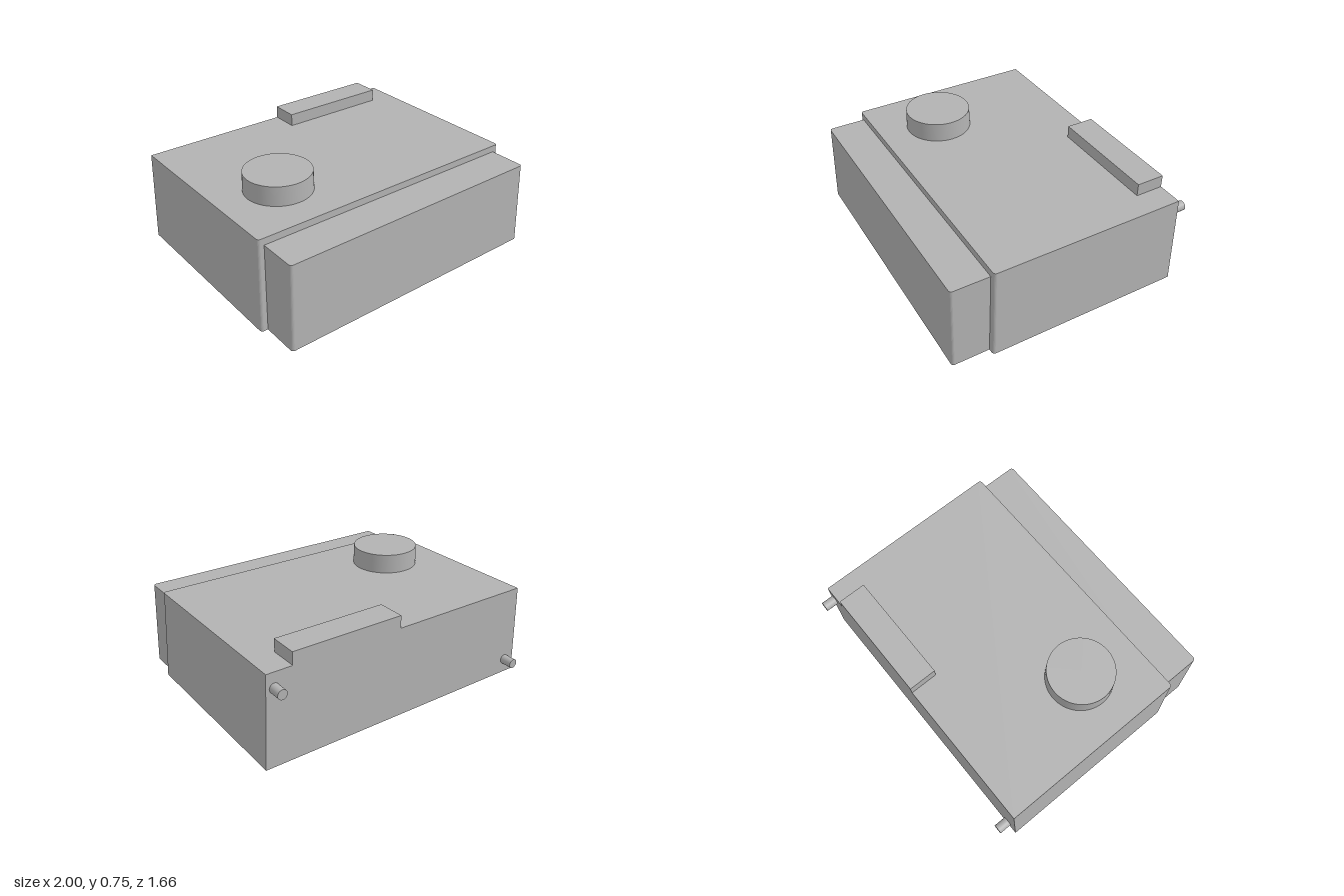
import * as THREE from 'three';

const grey = new THREE.MeshStandardMaterial({ color: 0xb2b2b2 });
grey.name = 'plain grey';

// Block with a straight back, rounded front corners and drafted front and sides
function draftedBlock(halfWidth, topHalfWidth, back, front, topFront, height, r) {
  const s = new THREE.Shape();
  s.moveTo(-halfWidth, -back);
  s.lineTo(-halfWidth, -front + r);
  s.absarc(-halfWidth + r, -front + r, r, Math.PI, Math.PI * 1.5, false);
  s.lineTo(halfWidth - r, -front);
  s.absarc(halfWidth - r, -front + r, r, Math.PI * 1.5, Math.PI * 2, false);
  s.lineTo(halfWidth, -back);
  s.closePath();
  const g = new THREE.ExtrudeGeometry(s, { depth: height, bevelEnabled: false, curveSegments: 5 });
  g.rotateX(-Math.PI / 2);
  const p = g.attributes.position;
  for (let i = 0; i < p.count; i++) {
    const t = p.getY(i) / height;
    const depth = (p.getZ(i) - back) / (front - back);
    p.setX(i, p.getX(i) * (1 + t * (topHalfWidth / halfWidth - 1)));
    p.setZ(i, p.getZ(i) + t * depth * (topFront - front));
  }
  g.computeVertexNormals();
  return g;
}

export function createModel() {
  const model = new THREE.Group();
  model.name = 'housing';
  const add = (name, geometry, x = 0, y = 0, z = 0) => {
    const m = new THREE.Mesh(geometry, grey);
    m.name = name;
    m.position.set(x, y, z);
    model.add(m);
    return m;
  };

  // Main body and lower front block
  add('body', draftedBlock(1, 0.975, -0.75, 0.58, 0.557, 0.62, 0.02));
  add('frontBlock', draftedBlock(0.955, 0.937, 0.5, 0.83, 0.814, 0.575, 0.02));

  // Round knob and rear ridge on the top
  add('knob', new THREE.CylinderGeometry(0.219, 0.223, 0.14, 64), -0.555, 0.68, 0.14);
  add('rearRidge', new THREE.BoxGeometry(0.765, 0.1, 0.19), 0.4215, 0.655, -0.655);

  // Pins at opposite corners of the back
  for (const [name, x, y] of [['upperPin', 0.925, 0.52], ['lowerPin', -0.915, 0.1]]) {
    add(name, new THREE.CylinderGeometry(0.032, 0.032, 0.105, 32), x, y, -0.7825).rotation.x = Math.PI / 2;
  }
  return model;
}
